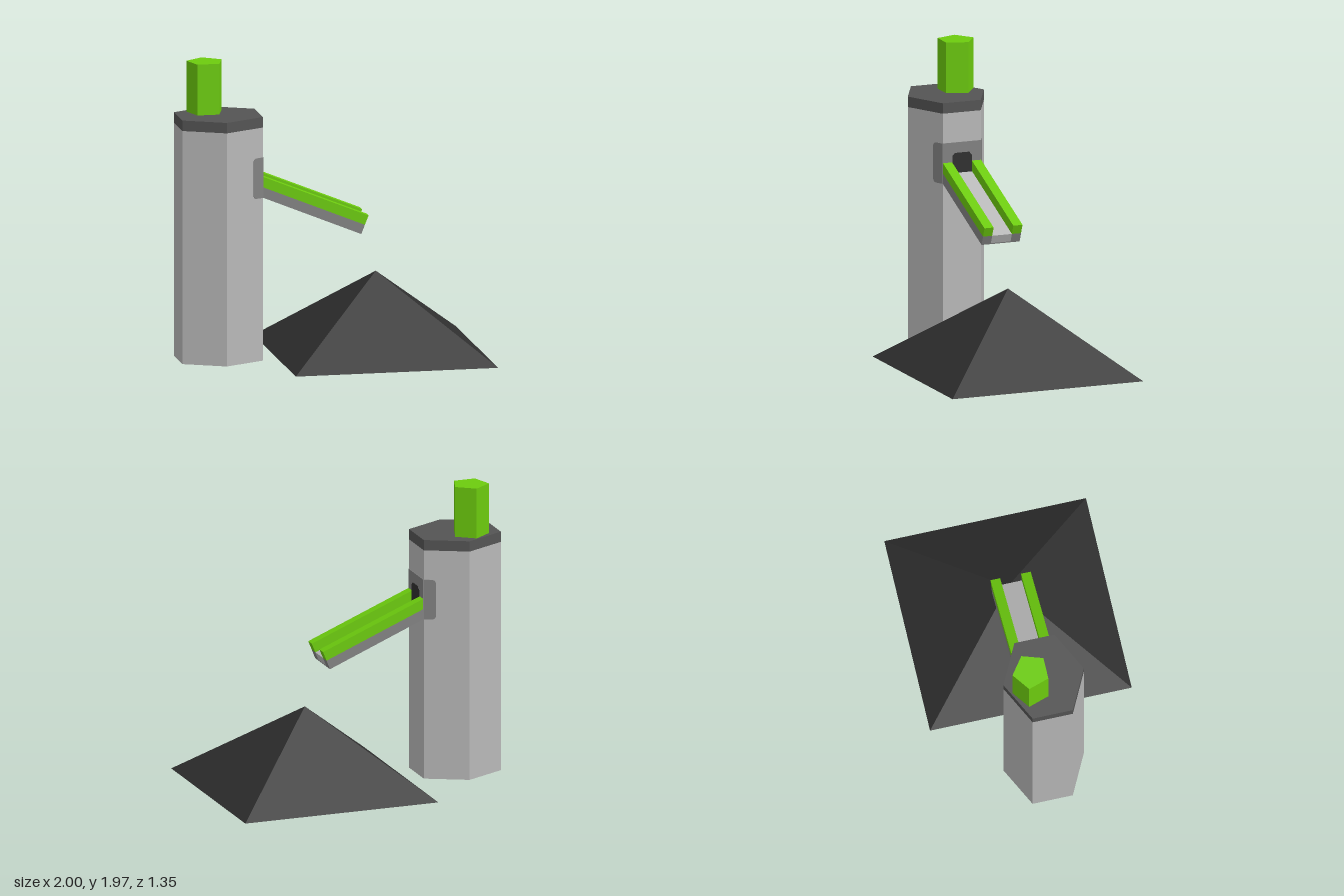
import * as THREE from 'three';

const mat = (name, color) => {
  const m = new THREE.MeshStandardMaterial({ color });
  m.name = name;
  return m;
};

export function createModel() {
  const model = new THREE.Group();
  model.name = 'towerWithChute';
  const light = mat('lightGrey', 0xb8b8b8);
  const mid = mat('midGrey', 0x828282);
  const slate = mat('darkGrey', 0x545454);
  const black = mat('charcoal', 0x2f2f2f);
  const green = mat('brightGreen', 0x6ccb0e);

  const add = (name, geometry, material, parent = model) => {
    const mesh = new THREE.Mesh(geometry, material);
    mesh.name = name;
    parent.add(mesh);
    return mesh;
  };
  const shapeOf = (pts) => new THREE.Shape(pts.map(([x, y]) => new THREE.Vector2(x, y)));
  const extrude = (shape, depth) =>
    new THREE.ExtrudeGeometry(shape, { depth, bevelEnabled: false, curveSegments: 5 });

  // Upright prism with flat sides, one corner on the z axis
  const prism = (r, y0, y1, sides, start = 0) =>
    new THREE.CylinderGeometry(r, r, y1 - y0, sides, 1, false, start)
      .toNonIndexed().translate(0, (y0 + y1) / 2, 0);
  const flat = (g) => { g.computeVertexNormals(); return g; };

  // Six-sided tower, slightly widened in x
  const wide = 0.27 / (0.27 * Math.sin(Math.PI / 3));
  const hex = (y0, y1) => flat(prism(0.27, y0, y1, 6).scale(wide, 1, 1).translate(-0.73, 0, 0));
  add('tower', hex(0, 1.56), [light, light, mid]);
  add('towerCap', hex(1.56, 1.63), slate);

  // Five-sided chimney
  add('chimney', flat(prism(0.124, 1.63, 1.97, 5, Math.PI).translate(-0.797, 0, -0.1)), green);

  // Painted surround of the opening, folded round the tower corners
  const wallX = -0.46, y0 = 1.09, y1 = 1.36;
  add('surroundFront', new THREE.BoxGeometry(0.004, y1 - y0, 0.27)
    .translate(wallX + 0.002, (y0 + y1) / 2, 0), mid);
  const w = 0.08, r = 0.03;
  const wing = new THREE.Shape();
  wing.moveTo(0, y0);
  wing.lineTo(0, y1);
  wing.lineTo(-w + r, y1);
  wing.quadraticCurveTo(-w, y1, -w, y1 - r);
  wing.lineTo(-w, y0 + r);
  wing.quadraticCurveTo(-w, y0, -w + r, y0);
  const wingGeo = extrude(wing, 0.004).rotateY(Math.atan2(0.135, 0.27)).translate(wallX, 0, 0.135);
  for (const s of [1, -1]) add('surroundWing', wingGeo, mid).scale.z = s;

  // Dark opening with clipped corners
  const opening = shapeOf([[-0.05, 1.1], [0.05, 1.1], [0.068, 1.12], [0.068, 1.27],
    [0.05, 1.29], [-0.05, 1.29], [-0.068, 1.27], [-0.068, 1.12]]);
  add('opening', extrude(opening, 0.008).rotateY(Math.PI / 2).translate(wallX, 0, 0), black);

  // Sloping chute: side profiles extruded across z
  const chute = new THREE.Group();
  chute.name = 'chute';
  model.add(chute);
  const top = [[wallX, 1.23], [0.247, 0.94]];
  const middle = [[wallX, 1.16], [0.222, 0.879]];
  const underside = [[wallX, 1.097], [0.2, 0.825]];
  const bottom = [[wallX, 1.09], [0.198, 0.818]];
  const strip = (name, low, high, za, zb, material) =>
    add(name, extrude(shapeOf([low[0], low[1], high[1], high[0]]), zb - za)
      .translate(0, 0, za), material, chute);
  strip('chuteFloor', underside, middle, -0.07, 0.07, light);
  strip('chuteUnderside', bottom, underside, -0.07, 0.07, mid);
  for (const z of [-0.135, 0.07]) {
    strip('chuteSide', bottom, middle, z, z + 0.065, mid);
    strip('chuteRail', middle, top, z, z + 0.065, green);
  }

  // Four-sided heap below the chute
  const heap = new THREE.ConeGeometry(0.677 * Math.SQRT2, 0.54, 4).toNonIndexed()
    .rotateY(Math.PI / 4).translate(0.323, 0.27, 0);
  add('heap', flat(heap), black);

  return model;
}
